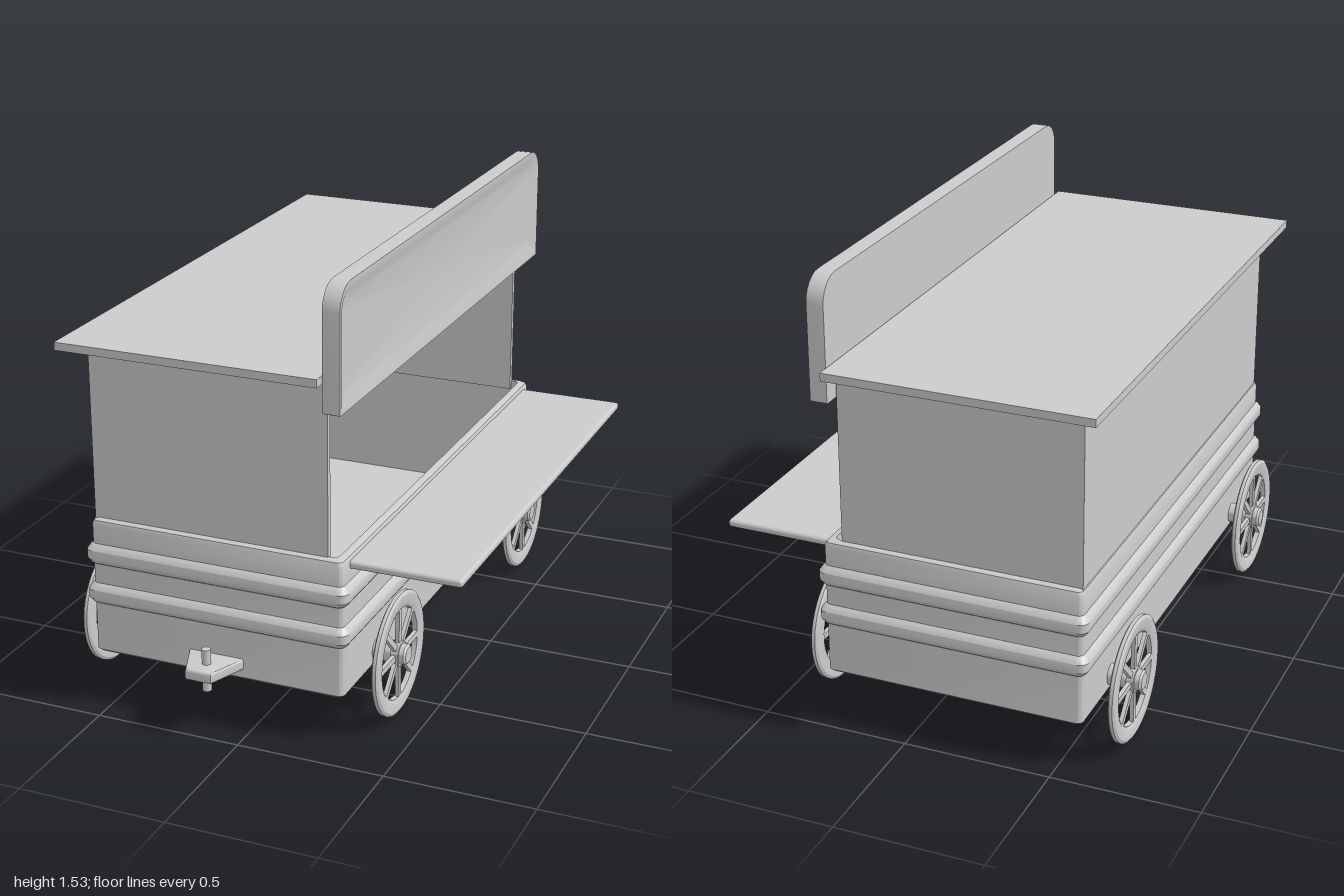
import * as THREE from 'three';
import { toCreasedNormals } from 'three/addons/utils/BufferGeometryUtils.js';
import { RoundedBoxGeometry } from 'three/addons/geometries/RoundedBoxGeometry.js';

const mat = new THREE.MeshStandardMaterial({ color: 0xcccccc });
const CX = -0.135, CZ = -0.03; // centre of the wagon body

function add(parent, name, geometry, x = 0, y = 0, z = 0) {
  const mesh = new THREE.Mesh(geometry, mat);
  mesh.name = name;
  mesh.position.set(x, y, z);
  parent.add(mesh);
  return mesh;
}

// Rounded rectangle at height y; corners on +x use rPos, those on -x use rNeg
function ring(y, hx, hz, rPos = 0.02, rNeg = rPos) {
  const pts = [];
  for (let c = 0; c < 4; c++) {
    const sx = c === 0 || c === 3 ? 1 : -1, sz = c < 2 ? 1 : -1;
    const r = Math.min(sx > 0 ? rPos : rNeg, hx, hz);
    for (let i = 0; i <= 6; i++) {
      const a = (c + i / 6) * Math.PI / 2;
      pts.push(new THREE.Vector3(sx * (hx - r) + r * Math.cos(a), y, sz * (hz - r) + r * Math.sin(a)));
    }
  }
  return pts;
}

// Skin through successive rings
function loft(rings, crease = 0.6) {
  const pos = [];
  const tri = (a, b, c) => {
    const n = b.clone().sub(a).cross(c.clone().sub(a));
    if (n.length() > 1e-9) [a, b, c].forEach(p => pos.push(p.x, p.y, p.z));
  };
  for (let k = 0; k < rings.length - 1; k++) {
    const A = rings[k], B = rings[k + 1];
    for (let i = 0; i < A.length; i++) {
      const j = (i + 1) % A.length;
      tri(A[i], B[i], A[j]);
      tri(A[j], B[i], B[j]);
    }
  }
  const g = new THREE.BufferGeometry();
  g.setAttribute('position', new THREE.Float32BufferAttribute(pos, 3));
  return toCreasedNormals(g, crease);
}

function makeWheel() {
  const wheel = new THREE.Group();
  // rim: closed profile turned around the axle
  const profile = [[0.155, -0.012], [0.2, -0.012], [0.21, -0.006], [0.21, 0.006], [0.2, 0.012],
    [0.168, 0.012], [0.155, 0.006], [0.155, -0.012]].map(p => new THREE.Vector2(...p));
  const rim = toCreasedNormals(new THREE.LatheGeometry(profile, 48), 0.5);
  add(wheel, 'wheelRim', rim.rotateZ(-Math.PI / 2));
  for (let i = 0; i < 8; i++) {
    const spoke = new THREE.BoxGeometry(0.014, 0.135, 0.02).translate(0, 0.095, 0);
    add(wheel, 'spoke', spoke).rotation.x = i * Math.PI / 4;
  }
  // hub with a stepped cap, and the stub axle towards the body
  const hub = [[0, -0.085], [0.035, -0.085], [0.035, -0.012], [0.042, -0.012], [0.042, 0.014],
    [0.035, 0.014], [0.035, 0.03], [0.028, 0.037], [0, 0.037]].map(p => new THREE.Vector2(...p));
  add(wheel, 'hub', toCreasedNormals(new THREE.LatheGeometry(hub, 28), 0.5).rotateZ(-Math.PI / 2));
  return wheel;
}

export function createModel() {
  const model = new THREE.Group();
  model.name = 'vendorWagon';

  // Hollow lower body: underside, ribbed outside, rounded rim, inside and floor
  const hx = 0.443, hz = 0.897;
  const at = (y, d, r) => ring(y, hx + d, hz + d, r);
  const rib = y => [at(y - 0.036, 0), at(y - 0.03, 0.008, 0.025), at(y - 0.015, 0.018, 0.03),
    at(y + 0.015, 0.018, 0.03), at(y + 0.03, 0.008, 0.025), at(y + 0.036, 0)];
  const body = loft([ring(0.16, 0, 0), at(0.16, -0.008), at(0.168, 0), ...rib(0.373), ...rib(0.513),
    at(0.615, 0), at(0.628, -0.005), at(0.634, -0.016), at(0.634, -0.028), at(0.2, -0.028), ring(0.2, 0, 0)]);
  add(model, 'lowerBody', body, CX, 0, CZ);

  // Upper walls: U-shaped plan, open on the serving side
  const x0 = -0.57, x1 = 0.25, zb = -0.905, zf = 0.845, t = 0.02;
  const plan = new THREE.Shape([[x1, -zf], [x1, -zf + t], [x0 + t, -zf + t], [x0 + t, -zb - t],
    [x1, -zb - t], [x1, -zb], [x0, -zb], [x0, -zf]].map(p => new THREE.Vector2(...p)));
  const walls = new THREE.ExtrudeGeometry(plan, { depth: 0.62, bevelEnabled: false });
  add(model, 'upperWalls', walls.rotateX(-Math.PI / 2), 0, 0.605, 0);

  // Roof slab
  add(model, 'roof', new THREE.BoxGeometry(0.893, 0.027, 1.93), -0.1935, 1.2335, -0.035);

  // Sign board with rounded top corners and a softly dished face
  const sy = 0.2025, sz = 0.925;
  const board = loft([ring(-0.029, 0, 0), ring(-0.029, sy, sz, 0.003, 0.085), ring(0.029, sy, sz, 0.003, 0.085),
    ring(0.029, sy - 0.014, sz - 0.014, 0.003, 0.075), ring(0.02, sy - 0.04, sz - 0.04, 0.003, 0.055),
    ring(0.015, sy - 0.065, sz - 0.065, 0.003, 0.04), ring(0.015, 0, 0)]);
  add(model, 'signBoard', board.rotateZ(-Math.PI / 2), 0.285, 1.3285, CZ);

  // Fold-out serving counter
  add(model, 'counter', new RoundedBoxGeometry(0.385, 0.027, 1.69, 3, 0.011), 0.4875, 0.602, -0.035);

  // Wheels, mirrored left and right
  for (const side of [1, -1]) {
    for (const z of [0.59, -0.67]) {
      const wheel = makeWheel();
      wheel.name = (z > 0 ? 'front' : 'rear') + (side > 0 ? 'Left' : 'Right') + 'Wheel';
      wheel.position.set(CX + side * 0.52, 0.21, z);
      if (side < 0) wheel.rotation.y = Math.PI;
      model.add(wheel);
    }
  }

  // Tow hitch: tapered tongue and upright pin
  const tongue = new THREE.Shape([[-0.095, -0.855], [0.095, -0.855], [0.04, -0.993], [-0.04, -0.993]]
    .map(p => new THREE.Vector2(...p)));
  const tongueGeo = new THREE.ExtrudeGeometry(tongue,
    { depth: 0.022, bevelSize: 0.007, bevelThickness: 0.008, bevelSegments: 3 });
  add(model, 'hitchTongue', toCreasedNormals(tongueGeo.rotateX(-Math.PI / 2), 0.6), CX, 0.204, 0);
  add(model, 'hitchPin', new THREE.CylinderGeometry(0.015, 0.015, 0.146, 20), CX, 0.212, 0.937);

  return model;
}
